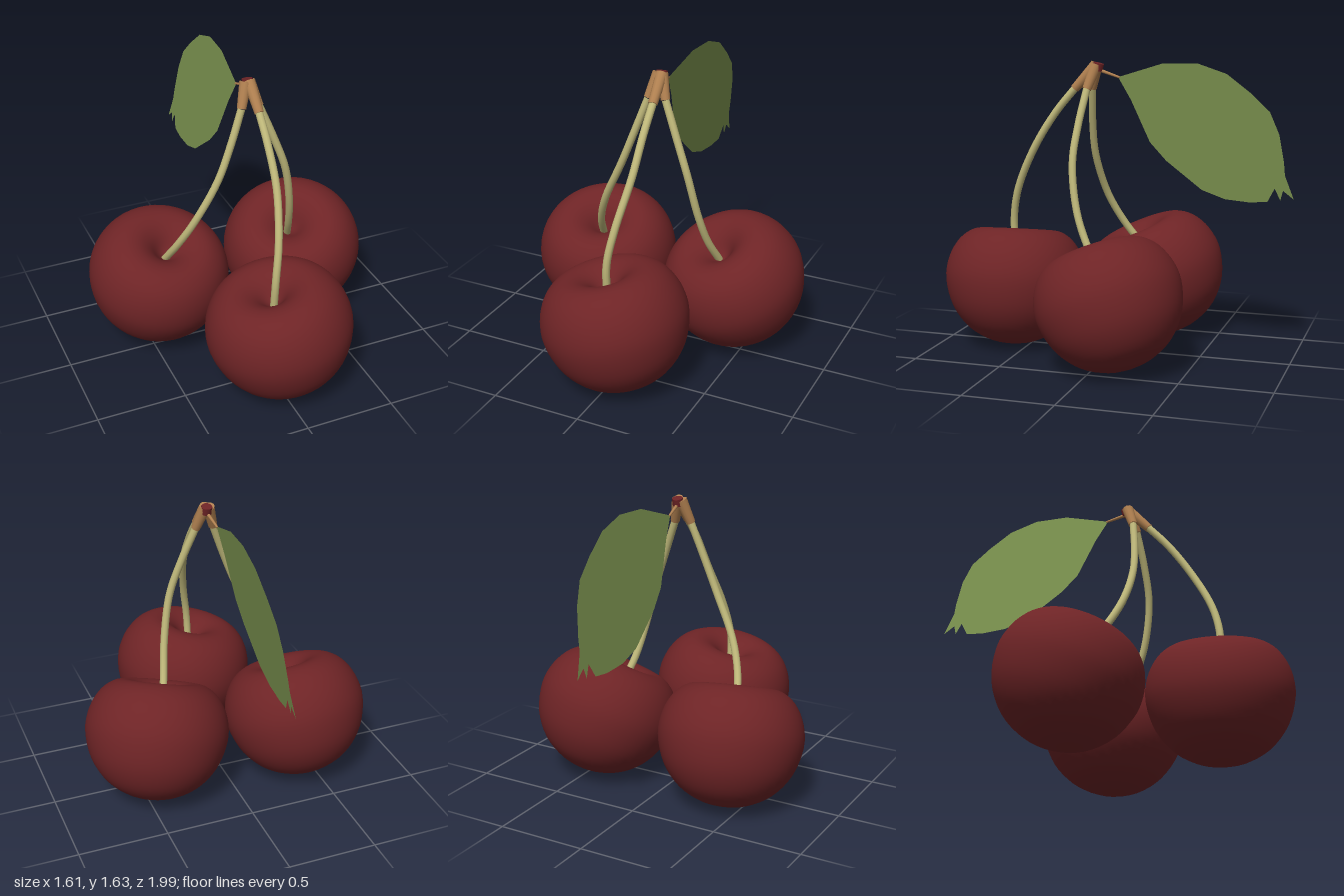
import * as THREE from 'three';

const material = (name, color, side = THREE.FrontSide) => {
  const m = new THREE.MeshStandardMaterial({ color, side });
  m.name = name;
  return m;
};

const UP = new THREE.Vector3(0, 1, 0);
const vec = (p) => new THREE.Vector3(...p);

export function createModel() {
  const model = new THREE.Group();
  const red = material('cherry red', 0x6e2426);
  const green = material('stem green', 0xbfb87a);
  const brown = material('bark brown', 0xb08050);
  const leafGreen = material('leaf green', 0x7d9450, THREE.DoubleSide);

  const add = (name, geometry, mat, parent = model) => {
    const mesh = new THREE.Mesh(geometry, mat);
    mesh.name = name;
    parent.add(mesh);
    return mesh;
  };

  // Tapered rod between two points
  const rod = (name, a, b, ra, rb, mat, parent) => {
    const dir = b.clone().sub(a);
    const mesh = add(name, new THREE.CylinderGeometry(rb, ra, dir.length(), 12), mat, parent);
    mesh.position.copy(a).add(b).multiplyScalar(0.5);
    mesh.quaternion.setFromUnitVectors(UP, dir.normalize());
    return mesh;
  };

  // Fruit profile: round below, dimpled at the top
  const profile = new THREE.SplineCurve([
    [0, -0.36], [0.12, -0.342], [0.25, -0.275], [0.35, -0.155], [0.398, 0], [0.385, 0.13],
    [0.33, 0.235], [0.25, 0.293], [0.17, 0.297], [0.1, 0.262], [0.04, 0.2], [0, 0.17],
  ].map(([r, y]) => new THREE.Vector2(r, y))).getPoints(44);
  profile.forEach((p) => { p.x = Math.max(0, p.x); });
  profile[0].x = profile[profile.length - 1].x = 0;
  const fruitGeometry = new THREE.LatheGeometry(profile, 48);

  // Each cherry: fruit centre, axis direction and stem path from the hub down
  const cherries = [
    {
      name: 'frontCherry', centre: [0.02, 0.37, 0.59], axis: [-0.22, 1, 0.02],
      stem: [[0.05, 1.62, 0.09], [0.055, 1.49, 0.21], [0.055, 1.36, 0.32], [0.05, 1.16, 0.45],
        [0.01, 0.91, 0.57], [-0.02, 0.72, 0.61], [-0.025, 0.53, 0.6]],
    },
    {
      name: 'rightCherry', centre: [-0.41, 0.375, -0.14], axis: [0.1, 1, 0.4],
      stem: [[0.03, 1.62, 0.09], [-0.01, 1.49, 0.13], [-0.08, 1.3, 0.152], [-0.16, 1.1, 0.16],
        [-0.28, 0.86, 0.125], [-0.355, 0.68, 0.045], [-0.4, 0.52, -0.07]],
    },
    {
      name: 'leftCherry', centre: [0.42, 0.385, -0.105], axis: [-0.28, 1, 0.45],
      stem: [[0.05, 1.62, 0.09], [0.09, 1.49, 0.13], [0.165, 1.3, 0.155], [0.235, 1.1, 0.165],
        [0.285, 0.85, 0.125], [0.315, 0.68, 0.06], [0.35, 0.54, -0.025]],
    },
  ];

  for (const { name, centre, axis, stem } of cherries) {
    const cherry = new THREE.Group();
    cherry.name = name;
    model.add(cherry);
    const fruit = add('fruit', fruitGeometry, red, cherry);
    fruit.position.set(...centre);
    fruit.quaternion.setFromUnitVectors(UP, vec(axis).normalize());
    const points = stem.map(vec);
    const path = new THREE.CatmullRomCurve3(points.slice(1));
    add('stem', new THREE.TubeGeometry(path, 24, 0.021, 10), green, cherry);
    rod('stemCollar', points[1], points[0], 0.025, 0.033, brown, cherry);
  }

  // Dark cut end where the stems meet
  rod('hub', vec([0.045, 1.59, 0.085]), vec([0.045, 1.63, 0.075]), 0.03, 0.03, red);

  // Leaf stalk
  rod('leafStalk', vec([0.045, 1.595, 0.08]), vec([0.03, 1.553, -0.04]), 0.01, 0.006, brown);

  // Leaf outline (distance back, height), with a torn tip, leaned slightly sideways
  const outline = [
    [0.03, 1.555], [0.29, 1.635], [0.48, 1.638], [0.64, 1.585], [0.77, 1.485], [0.87, 1.39],
    [0.92, 1.27], [0.945, 1.12], [0.95, 1.05], [0.998, 0.92], [0.94, 0.965], [0.925, 0.91],
    [0.895, 0.975], [0.855, 0.9], [0.76, 0.89], [0.62, 0.9], [0.49, 0.945], [0.29, 1.1],
    [0.2, 1.2], [0.1, 1.43],
  ].map(([a, y]) => new THREE.Vector2(a, y));
  const leaf = new THREE.ShapeGeometry(new THREE.Shape(outline));
  const pos = leaf.attributes.position;
  for (let i = 0; i < pos.count; i++) {
    const back = pos.getX(i);
    const y = pos.getY(i);
    const midrib = 1.57 - 0.6 * back;
    pos.setXYZ(i, 0.03 - 0.03 * back + 0.14 * (y - midrib), y, -back);
  }
  leaf.computeVertexNormals();
  add('leaf', leaf, leafGreen);

  return model;
}
